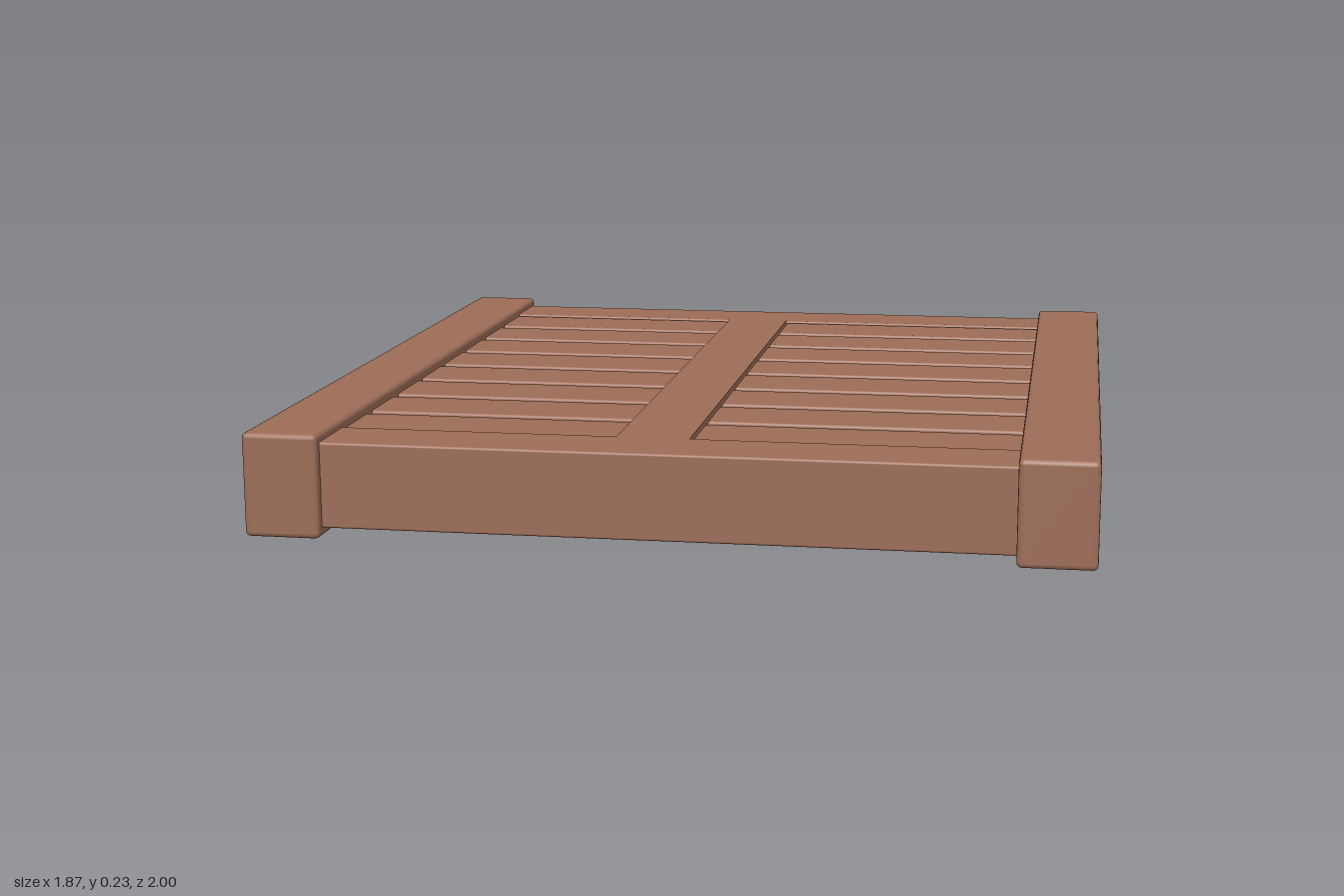
import * as THREE from 'three';
import { RoundedBoxGeometry } from 'three/addons/geometries/RoundedBoxGeometry.js';

export function createModel() {
  const model = new THREE.Group();
  model.name = 'slattedPanel';
  const wood = new THREE.MeshStandardMaterial({ color: 0x9d6d58 });
  const pale = new THREE.MeshStandardMaterial({ color: 0xe2dfd2 });
  const midY = 0.117;

  // Box between x and z limits, centred on the panel's mid height
  function block(name, x0, x1, z0, z1, height, bevel, material = wood) {
    const size = [x1 - x0, height, z1 - z0];
    const geometry = bevel
      ? new RoundedBoxGeometry(...size, 2, bevel)
      : new THREE.BoxGeometry(...size);
    const mesh = new THREE.Mesh(geometry, material);
    mesh.name = name;
    mesh.position.set((x0 + x1) / 2, midY, (z0 + z1) / 2);
    model.add(mesh);
  }

  // Thick side rails
  block('rightRail', -0.927, -0.757, -0.992, 0.992, 0.234, 0.012);
  block('leftRail', 0.757, 0.927, -0.992, 0.992, 0.234, 0.012);

  // Cross bars at both ends and the off-centre divider
  block('backBar', -0.8, 0.8, -0.968, -0.804, 0.193, 0.006);
  block('frontBar', -0.8, 0.8, 0.804, 0.968, 0.193, 0.006);
  block('divider', -0.129, 0.035, -0.82, 0.82, 0.193, 0);

  // Pale core seen through the gaps
  block('core', -0.9, 0.8, -0.85, 0.85, 0.11, 0, pale);

  // Eight slats in each of the two openings
  const count = 8, slat = 0.172, pitch = (1.6 - slat) / (count - 1);
  for (const [side, x0, x1] of [['right', -0.762, -0.132], ['left', 0.038, 0.762]]) {
    for (let i = 0; i < count; i++) {
      const z = -0.8 + i * pitch;
      block(`${side}Slat${i + 1}`, x0, x1, z, z + slat, 0.184, 0.007);
    }
  }

  // The whole panel sits very slightly turned
  model.rotation.y = -0.0085;
  return model;
}
